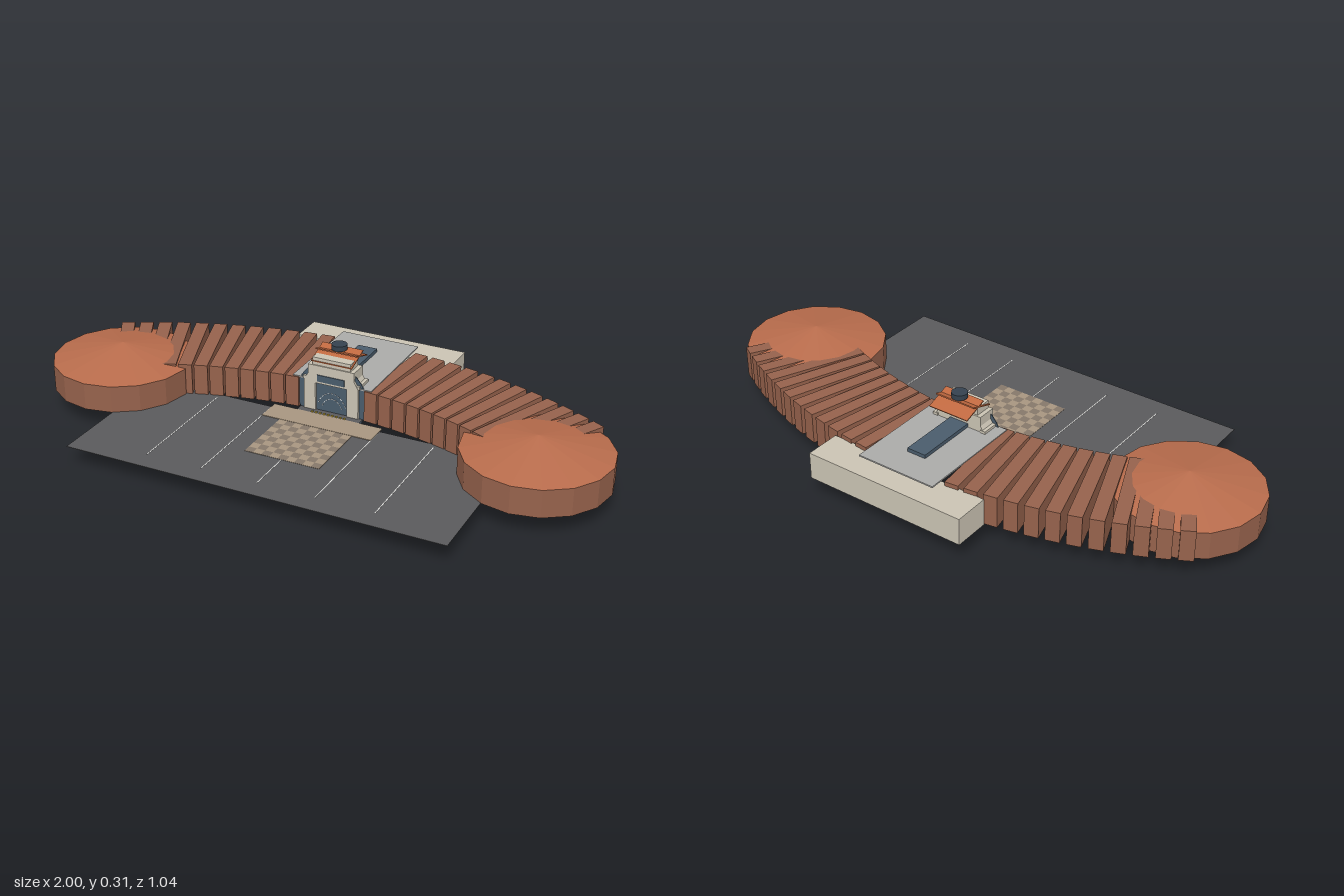
import * as THREE from 'three';

const mat = (color, extra = {}) => new THREE.MeshStandardMaterial({ color, ...extra });
const brick = mat(0x96624c, { flatShading: true });
const roofBrick = mat(0xb86c4c, { flatShading: true });
const beige = mat(0xcbc4b4);
const grey = mat(0xababa9);
const blue = mat(0x4a5c6c);
const darkBlue = mat(0x35424f);
const orange = mat(0xc0683f);
const asphalt = mat(0x5a5a5c);
const paving = mat(0xa89680);
const pavingDark = mat(0x86786a);
const white = mat(0xe4e4e0);
const yellow = mat(0xd8b93a);

const GROUND = 0.075;

export function createModel() {
  const model = new THREE.Group();

  const add = (name, geometry, material, x = 0, y = 0, z = 0) => {
    const mesh = new THREE.Mesh(geometry, material);
    mesh.name = name;
    mesh.position.set(x, y, z);
    model.add(mesh);
    return mesh;
  };
  // box given by its limits on each axis
  const box = (name, material, [x0, x1], [y0, y1], [z0, z1]) =>
    add(name, new THREE.BoxGeometry(x1 - x0, y1 - y0, z1 - z0), material,
      (x0 + x1) / 2, (y0 + y1) / 2, (z0 + z1) / 2);

  // forecourt with bay lines
  box('forecourt', asphalt, [-0.66, 0.66], [GROUND - 0.001, GROUND + 0.001], [-0.02, 0.52]);
  for (const x of [-0.4, -0.2, 0, 0.2, 0.4])
    box('bayLine', white, [x - 0.0015, x + 0.0015], [GROUND, GROUND + 0.0016], [0, 0.45]);

  // entrance paving: apron, threshold and checkered walk
  box('apron', paving, [-0.2, 0.2], [GROUND - 0.001, GROUND + 0.003], [-0.04, 0.05]);
  box('threshold', asphalt, [-0.115, 0.115], [GROUND - 0.001, GROUND + 0.002], [-0.07, -0.04]);
  const cols = 9, rows = 8, cw = 0.266 / cols, rd = 0.24 / rows;
  for (let i = 0; i < cols; i++)
    for (let j = 0; j < rows; j++) {
      const x = -0.133 + i * cw, z = 0.05 + j * rd;
      box('paver', (i + j) % 2 ? pavingDark : paving, [x, x + cw], [GROUND, GROUND + 0.002], [z, z + rd]);
    }
  for (let i = -4; i <= 4; i++)
    box('thresholdLight', yellow, [i * 0.015 - 0.003, i * 0.015 + 0.003], [GROUND, GROUND + 0.006], [-0.048, -0.042]);

  // curved wings: radial slabs on a shared arc centre
  const arcZ = 1.38, rIn = 1.45, rOut = 1.8;
  const slab = new THREE.BoxGeometry(0.047, 0.11, rOut - rIn);
  for (const side of [-1, 1])
    for (let i = 0; i < 12; i++) {
      const a = side * (0.1 + i * 0.0373), r = (rIn + rOut) / 2;
      const mesh = add('wingSlab', slab, brick, Math.sin(a) * r, GROUND + 0.055, arcZ - Math.cos(a) * r);
      mesh.rotation.y = -a;
    }

  // end drums with shallow conical roofs
  for (const side of [-1, 1]) {
    add('drumWall', new THREE.CylinderGeometry(0.245, 0.245, 0.095, 16), brick, side * 0.755, GROUND + 0.0475, 0.03);
    add('drumRoof', new THREE.ConeGeometry(0.245, 0.053, 16), roofBrick, side * 0.755, 0.1965, 0.03);
  }

  // central hall roof, skylight and rear block
  box('hallRoof', grey, [-0.145, 0.145], [0.183, 0.188], [-0.46, -0.07]);
  box('skylight', blue, [-0.035, 0.035], [0.188, 0.201], [-0.355, -0.13]);
  box('rearBlock', beige, [-0.295, 0.295], [GROUND, 0.17], [-0.525, -0.4]);

  // round window disc standing in the entrance
  const disc = add('roundWindow', new THREE.CylinderGeometry(0.13, 0.13, 0.003, 32), blue, 0, 0.13, -0.075);
  disc.rotation.x = Math.PI / 2;

  // stepped portal with a door opening
  const half = [[0.1, GROUND], [0.1, 0.185], [0.085, 0.21], [0.085, 0.243]];
  const outline = [
    ...half, ...half.slice().reverse().map(([x, y]) => [-x, y]),
    [-0.058, GROUND], [-0.058, 0.178], [0.058, 0.178], [0.058, GROUND],
  ];
  const portalShape = new THREE.Shape(outline.map(([x, y]) => new THREE.Vector2(x, y)));
  add('portal', new THREE.ExtrudeGeometry(portalShape, { depth: 0.068, bevelEnabled: false }), beige, 0, 0, -0.132);
  for (const side of [-1, 1])
    add('shoulder', new THREE.BoxGeometry(0.02, 0.012, 0.07), beige, side * 0.095, 0.191, -0.1);
  box('portalAttic', beige, [-0.07, 0.07], [0.243, 0.27], [-0.126, -0.068]);
  box('upperWindow', blue, [-0.05, 0.05], [0.186, 0.21], [-0.066, -0.061]);

  // dashed arches on the window
  for (const [r, n] of [[0.05, 9], [0.07, 0]])
    for (let i = 0; i < (n || 11); i++) {
      const a = Math.PI * (0.15 + 0.7 * i / ((n || 11) - 1));
      const x = Math.cos(a) * r * 0.78;
      const dash = add('archDash', new THREE.BoxGeometry(0.008, 0.002, 0.002), white, x, GROUND + Math.sin(a) * r, -0.073);
      dash.rotation.z = a + Math.PI / 2;
    }

  // crossed gable plates over the portal
  for (const side of [-1, 1]) {
    const plate = add('gablePlate', new THREE.BoxGeometry(0.15, 0.004, 0.094), orange, 0, 0.271, -0.128 + side * 0.017);
    plate.rotation.x = side * 0.33;
  }

  // cupola on a short post
  add('cupolaPost', new THREE.CylinderGeometry(0.008, 0.008, 0.03, 12), darkBlue, 0, 0.278, -0.128);
  add('cupola', new THREE.CylinderGeometry(0.027, 0.027, 0.018, 16), darkBlue, 0, 0.298, -0.128);

  return model;
}
